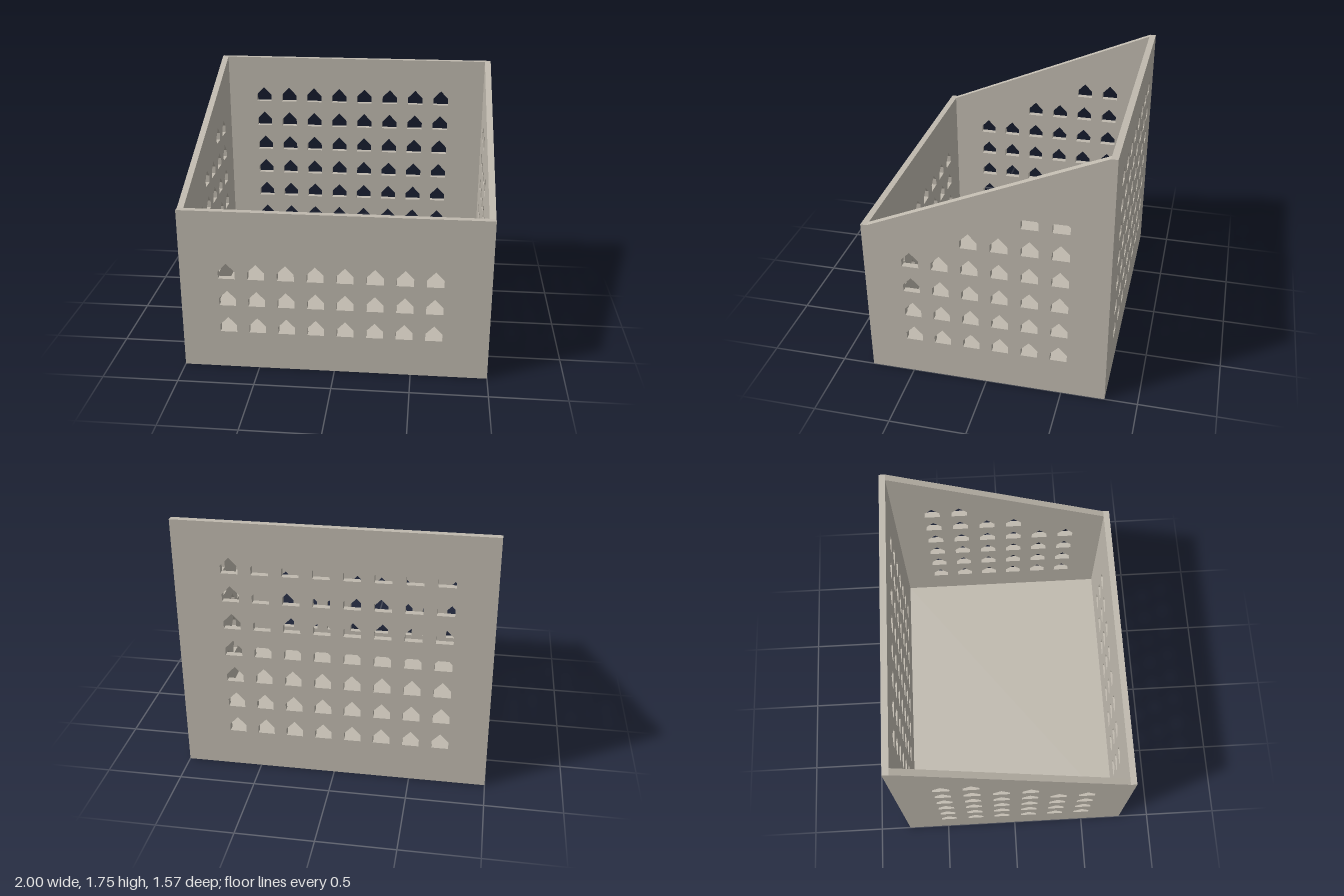
import * as THREE from 'three';

const T = 0.042;          // wall thickness
const HX = 1, HZ = 0.787; // outer half sizes
const STEP = 0.1915;      // hole spacing
const ROW0 = 0.26;        // sill of the lowest row
const FRONT_H = 1.108, BACK_H = 1.746;

// House-shaped opening with its sill centred on (u, y)
function houseHole(u, y) {
  const w = 0.055;
  return new THREE.Path([[-w, 0], [w, 0], [w, 0.05], [0, 0.107], [-w, 0.05]]
    .map(([a, b]) => new THREE.Vector2(u + a, y + b)));
}

// Wall panel; rows lists the first and last hole column in each row
function wallGeometry(outline, u0, rows) {
  const shape = new THREE.Shape(outline.map(([a, b]) => new THREE.Vector2(a, b)));
  rows.forEach(([first, last], r) => {
    for (let c = first; c <= last; c++) shape.holes.push(houseHole(u0 + c * STEP, ROW0 + r * STEP));
  });
  return new THREE.ExtrudeGeometry(shape, { depth: T, bevelEnabled: false });
}

const rectangle = (h) => [[-HX, 0], [HX, 0], [HX, h], [-HX, h]];

export function createModel() {
  const group = new THREE.Group();
  const material = new THREE.MeshStandardMaterial({ color: 0xbfb9ae });
  material.name = 'warm grey';

  const add = (name, geometry, x, y, z) => {
    const mesh = new THREE.Mesh(geometry, material);
    mesh.name = name;
    mesh.position.set(x, y, z);
    group.add(mesh);
  };

  // Front and back walls
  const full = [0, 7];
  add('frontWall', wallGeometry(rectangle(FRONT_H), -0.695, Array(3).fill(full)), 0, 0, HZ - T);
  add('backWall', wallGeometry(rectangle(BACK_H), -0.695, Array(7).fill(full)), 0, 0, -HZ);

  // Sloping side walls between them
  const d = HZ - T;
  const side = wallGeometry([[-d, 0], [d, 0], [d, BACK_H], [-d, FRONT_H]], -0.48,
    [[0, 5], [0, 5], [0, 5], [0, 5], [2, 5], [4, 5]]).rotateY(Math.PI / 2);
  add('leftWall', side, HX - T, 0, 0);
  add('rightWall', side, -HX, 0, 0);

  // Floor
  add('floor', new THREE.BoxGeometry(2 * (HX - T), T, 2 * d), 0, T / 2, 0);
  return group;
}
